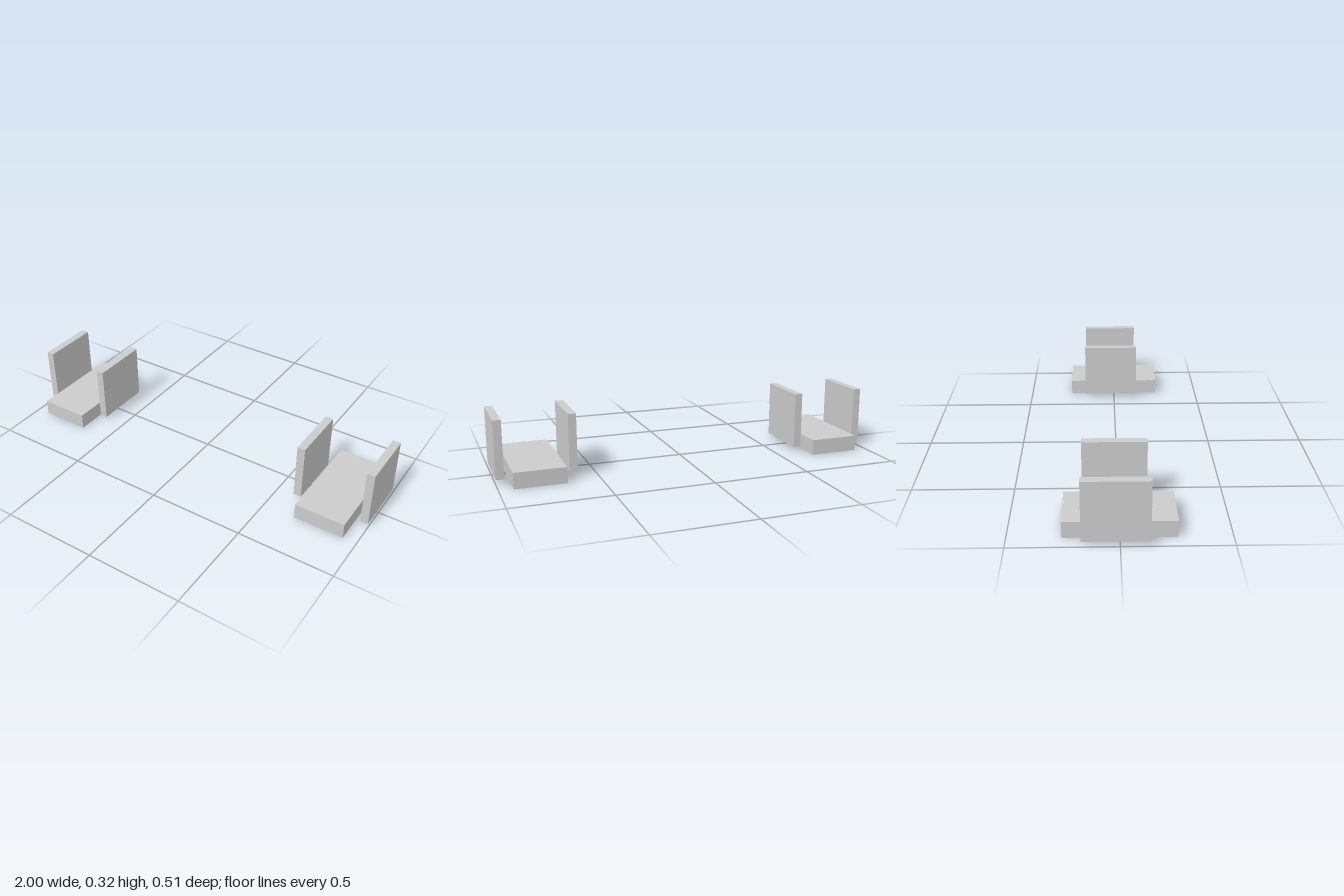
import * as THREE from 'three';

const material = new THREE.MeshStandardMaterial({ color: 0xcccccc, flatShading: true });

// Box given by its size and centre
function box(name, [w, h, d], [x, y, z]) {
  const mesh = new THREE.Mesh(new THREE.BoxGeometry(w, h, d), material);
  mesh.name = name;
  mesh.position.set(x, y, z);
  return mesh;
}

// One unit: a low base slab between two upright side panels
function createUnit(name, x) {
  const unit = new THREE.Group();
  unit.name = name;
  unit.position.x = x;
  unit.add(box('base', [0.26, 0.082, 0.513], [0, 0.041, 0]));
  for (const side of [-1, 1]) {
    unit.add(box(side > 0 ? 'leftPanel' : 'rightPanel', [0.041, 0.294, 0.304], [side * 0.18, 0.174, -0.019]));
  }
  return unit;
}

export function createModel() {
  const model = new THREE.Group();
  model.name = 'pairedUnits';
  model.add(createUnit('leftUnit', 0.7995), createUnit('rightUnit', -0.7995));
  return model;
}
